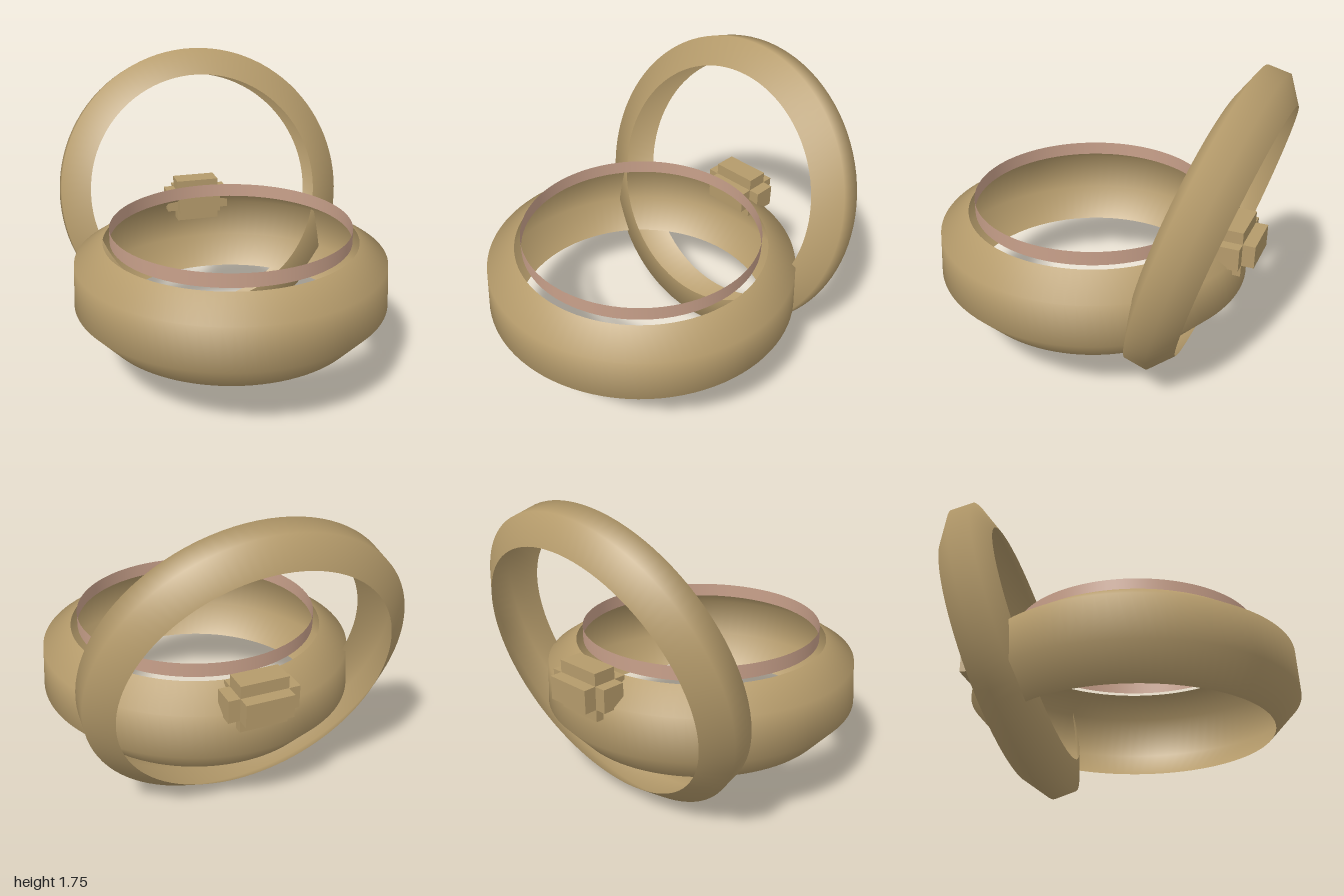
import * as THREE from 'three';

const tan = new THREE.MeshStandardMaterial({ color: 0xb59b6b, side: THREE.DoubleSide });
const rose = new THREE.MeshStandardMaterial({ color: 0xc8a08a, side: THREE.DoubleSide });

function addMesh(parent, name, geometry, material, x, y, z) {
  const mesh = new THREE.Mesh(geometry, material);
  mesh.name = name;
  mesh.position.set(x, y, z);
  parent.add(mesh);
  return mesh;
}

// Bulging open shell, turned from radius and height pairs
const shell = (points) =>
  new THREE.LatheGeometry(points.map(([r, y]) => new THREE.Vector2(r, y)), 96);

export function createModel() {
  const model = new THREE.Group();
  model.name = 'interlockedRings';

  // Lying ring
  addMesh(model, 'lyingRing',
    shell([[0.76, 0], [0.908, 0.165], [0.895, 0.41], [0.73, 0.52]]), tan, 0, 0.305, 0.09);

  // Upright ring, leaning back
  const upright = addMesh(model, 'uprightRing',
    shell([[0.757, 0], [0.895, 0.106], [0.892, 0.234], [0.72, 0.297]]), tan, 0, 0.828, -0.778);
  upright.rotation.x = THREE.MathUtils.degToRad(73.3);

  // Thin band above the lying ring
  addMesh(model, 'thinBand',
    new THREE.CylinderGeometry(0.69, 0.69, 0.08, 96, 1, true), rose, 0, 0.866, 0.09);

  // Clasp at the back: three crossing blocks
  const clasp = new THREE.Group();
  clasp.name = 'clasp';
  clasp.position.set(0, 0.77, -0.78);
  addMesh(clasp, 'wideBlock', new THREE.BoxGeometry(0.4, 0.13, 0.13), tan, 0, 0, 0);
  addMesh(clasp, 'tallBlock', new THREE.BoxGeometry(0.27, 0.27, 0.13), tan, 0, 0, 0);
  addMesh(clasp, 'deepBlock', new THREE.BoxGeometry(0.27, 0.13, 0.27), tan, 0, 0, 0);
  model.add(clasp);

  return model;
}
